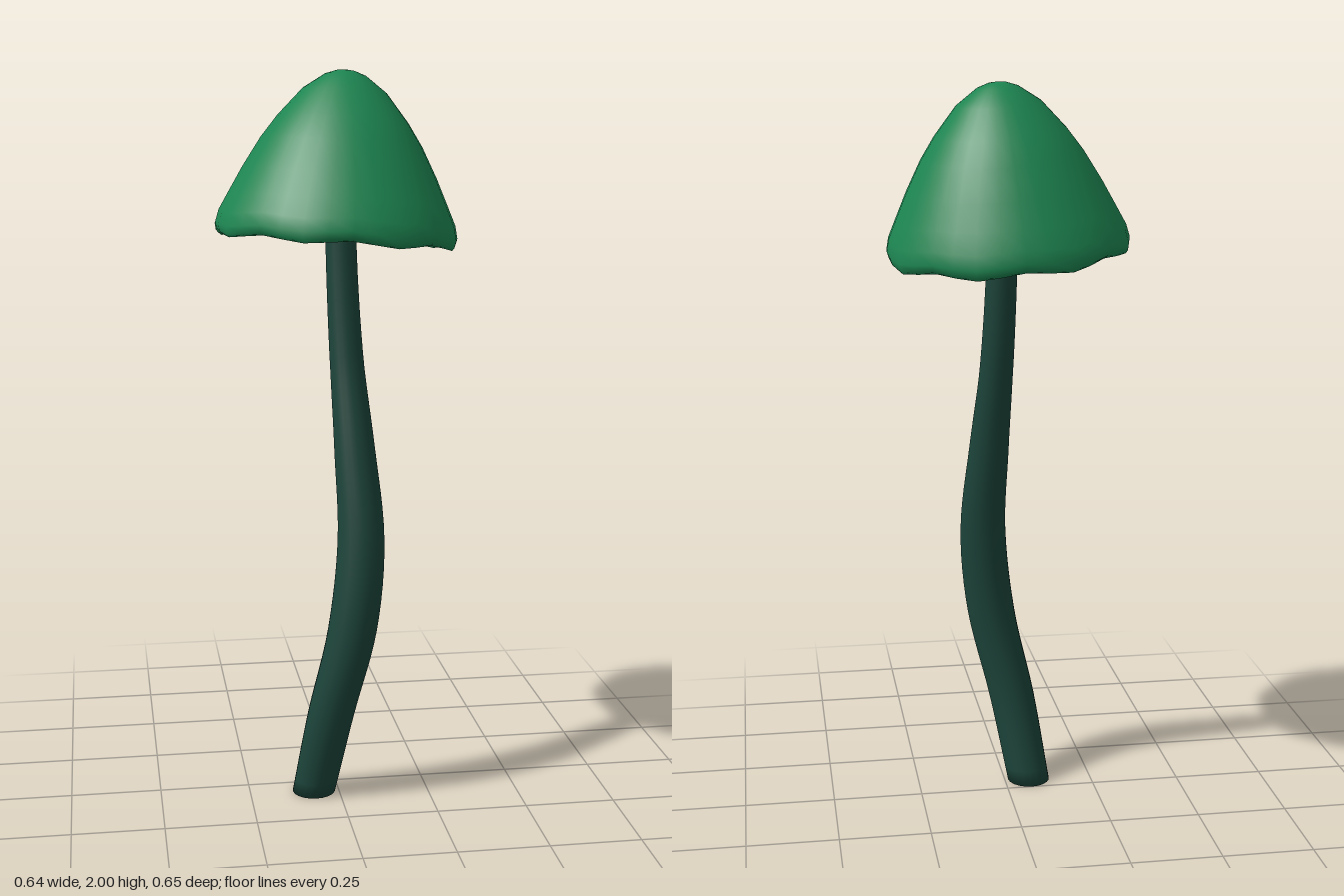
import * as THREE from 'three';
import { mergeVertices } from 'three/addons/utils/BufferGeometryUtils.js';

const v3 = (x, y, z) => new THREE.Vector3(x, y, z);

// Weld seams and edges so the shading runs smoothly over the whole part
function smoothMesh(name, geometry, material) {
  geometry.deleteAttribute('uv');
  geometry.deleteAttribute('normal');
  const welded = mergeVertices(geometry, 1e-4);
  welded.computeVertexNormals();
  const mesh = new THREE.Mesh(welded, material);
  mesh.name = name;
  return mesh;
}

// Curved stalk: a tapered cylinder whose rings slide along a bent centre line
function makeStem(material) {
  const path = new THREE.CatmullRomCurve3([
    v3(-0.07, 0, 0.06), v3(-0.027, 0.25, 0.108), v3(0.029, 0.5, 0.131), v3(0.054, 0.75, 0.117),
    v3(0.042, 1.0, 0.074), v3(0.026, 1.25, 0.028), v3(0.016, 1.56, -0.004), v3(0.016, 1.92, -0.014),
  ]);
  const rows = 42;
  const rings = path.getPoints(rows);
  const geometry = new THREE.CylinderGeometry(1, 1, rows, 20, rows);
  const pos = geometry.attributes.position;
  for (let i = 0; i < pos.count; i++) {
    const c = rings[Math.round(pos.getY(i) + rows / 2)];
    const radius = 0.06 - 0.018 * THREE.MathUtils.smoothstep(c.y, 0.45, 1.6)
      + 0.008 * Math.sin(Math.PI * Math.min(c.y / 1.2, 1));
    pos.setXYZ(i, c.x + pos.getX(i) * radius, c.y, c.z + pos.getZ(i) * radius);
  }
  return smoothMesh('stem', geometry, material);
}

// Hollow bell cap: inner wall, thin rim and outer wall in one lathe.
// Eight folds run up the inside and ripple the rim.
function makeCap(material) {
  const profile = [
    [0, 0.385], [0.07, 0.35], [0.155, 0.27], [0.228, 0.165], [0.278, 0.065], [0.3, 0.01],
    [0.313, -0.01], [0.322, -0.002], [0.326, 0.016], [0.318, 0.05], [0.294, 0.1], [0.26, 0.17],
    [0.216, 0.25], [0.175, 0.31], [0.112, 0.385], [0.055, 0.426], [0.025, 0.437], [0, 0.44],
  ];
  const lip = 6;
  const geometry = new THREE.LatheGeometry(profile.map(([r, y]) => new THREE.Vector2(r, y)), 32);
  const pos = geometry.attributes.position;
  for (let i = 0; i < pos.count; i++) {
    const x = pos.getX(i), y = pos.getY(i), z = pos.getZ(i);
    const row = i % profile.length;
    const wave = Math.cos(8 * Math.atan2(z, x));
    const nearRim = Math.max(0, 1 - Math.max(y, 0) / (row < lip ? 0.4 : 0.15));
    const fold = row < lip ? 0.05 * (wave + 1) : (row === lip ? 0.02 : 0.009) * wave;
    const scale = 1 - fold * nearRim;
    pos.setXYZ(i, x * scale, y + 0.006 * wave * nearRim, z * scale);
  }
  const cap = smoothMesh('cap', geometry, material);
  cap.position.set(0, 1.56, 0.002);
  cap.rotation.set(-0.07, 0, -0.075);
  return cap;
}

export function createModel() {
  const group = new THREE.Group();
  group.name = 'mushroom';
  group.add(
    makeStem(new THREE.MeshStandardMaterial({ color: 0x1c443a })),
    makeCap(new THREE.MeshStandardMaterial({ color: 0x1d8551 })),
  );
  return group;
}
